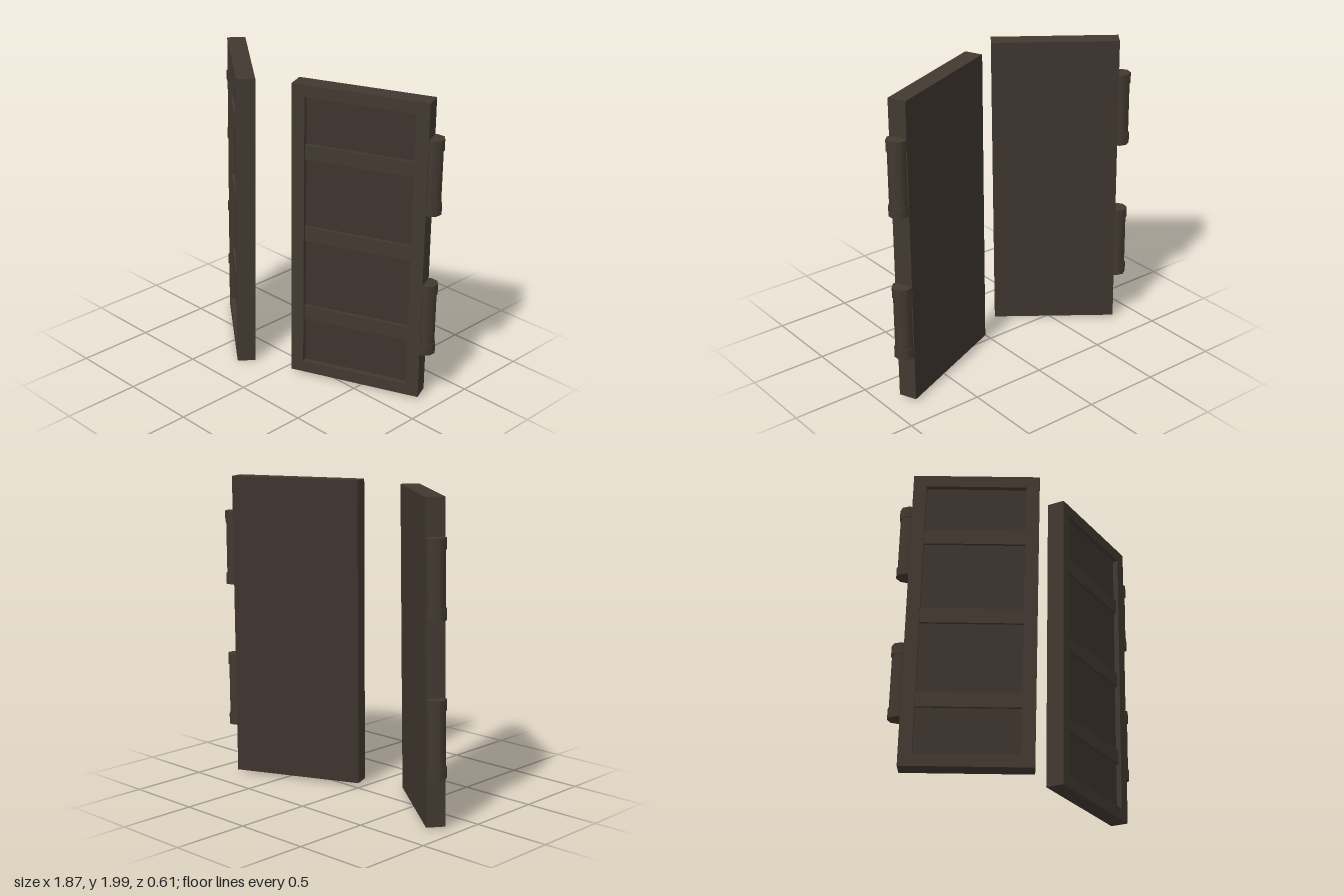
import * as THREE from 'three';

const frameMat = new THREE.MeshStandardMaterial({ color: 0x423930 });
frameMat.name = 'dark timber';
const panelMat = new THREE.MeshStandardMaterial({ color: 0x3e342e });
panelMat.name = 'panel timber';

const HEIGHT = 1.97, THICK = 0.118, MARGIN = 0.083;
const RECESS = 0.035, BAR_RECESS = 0.016, SKIN = 0.004;

function add(parent, name, geometry, material, x = 0, y = 0, z = 0) {
  const mesh = new THREE.Mesh(geometry, material);
  mesh.name = name;
  mesh.position.set(x, y, z);
  parent.add(mesh);
  return mesh;
}

// Rectangle outline centred on the origin
function rectangle(PathType, w, h) {
  return new PathType([[-1, -1], [1, -1], [1, 1], [-1, 1]]
    .map(([x, y]) => new THREE.Vector2(x * w / 2, y * h / 2)));
}

// Hinge barrel with a collar at each end
function makeHinge() {
  const hinge = new THREE.Group();
  hinge.name = 'hinge';
  const barrel = new THREE.CylinderGeometry(0.058, 0.058, 0.46, 8);
  add(hinge, 'hingeBarrel', barrel, frameMat);
  const collar = new THREE.CylinderGeometry(0.064, 0.064, 0.07, 8);
  for (const s of [-1, 1]) add(hinge, 'hingeCollar', collar, frameMat, 0, s * 0.205, 0);
  return hinge;
}

// One door leaf centred on its own origin; hingeSide is the sign of its hinged end in x
function makeDoor(width, hingeSide) {
  const door = new THREE.Group();
  const openW = width - 2 * MARGIN, openH = HEIGHT - 0.155;

  // Surrounding frame
  const outline = rectangle(THREE.Shape, width, HEIGHT);
  outline.holes.push(rectangle(THREE.Path, openW, openH));
  const frame = new THREE.ExtrudeGeometry(outline, { depth: THICK - SKIN, bevelEnabled: false });
  add(door, 'frame', frame, frameMat, 0, 0, -THICK / 2 + SKIN);

  // Flat back and recessed panel
  add(door, 'backSkin', new THREE.BoxGeometry(width, HEIGHT, SKIN), panelMat,
    0, 0, -THICK / 2 + SKIN / 2);
  const panelDepth = THICK - RECESS - SKIN;
  add(door, 'panel', new THREE.BoxGeometry(openW, openH, panelDepth), panelMat,
    0, 0, -THICK / 2 + SKIN + panelDepth / 2);

  // Cross bars standing proud of the panel
  const barDepth = RECESS - BAR_RECESS;
  for (const y of [-0.555, 0, 0.55]) {
    add(door, 'crossBar', new THREE.BoxGeometry(openW, 0.097, barDepth), frameMat,
      0, y, THICK / 2 - RECESS + barDepth / 2);
  }

  // Hinges
  for (const y of [-0.435, 0.515]) {
    const hinge = makeHinge();
    hinge.position.set(hingeSide * (width / 2 + 0.016), y, 0);
    door.add(hinge);
  }
  return door;
}

export function createModel() {
  const model = new THREE.Group();
  model.name = 'doubleDoors';

  // Two leaves, swung open by different angles and sagging slightly
  const left = makeDoor(0.868, 1);
  left.name = 'leftDoor';
  left.position.set(0.453, 1.01, -0.08);
  left.rotation.set(0.003, 0.392, -0.0075, 'XZY');

  const right = makeDoor(0.802, -1);
  right.name = 'rightDoor';
  right.position.set(-0.537, 0.999, 0.008);
  right.rotation.set(0, -0.662, -0.0175, 'XZY');

  model.add(left, right);
  return model;
}
